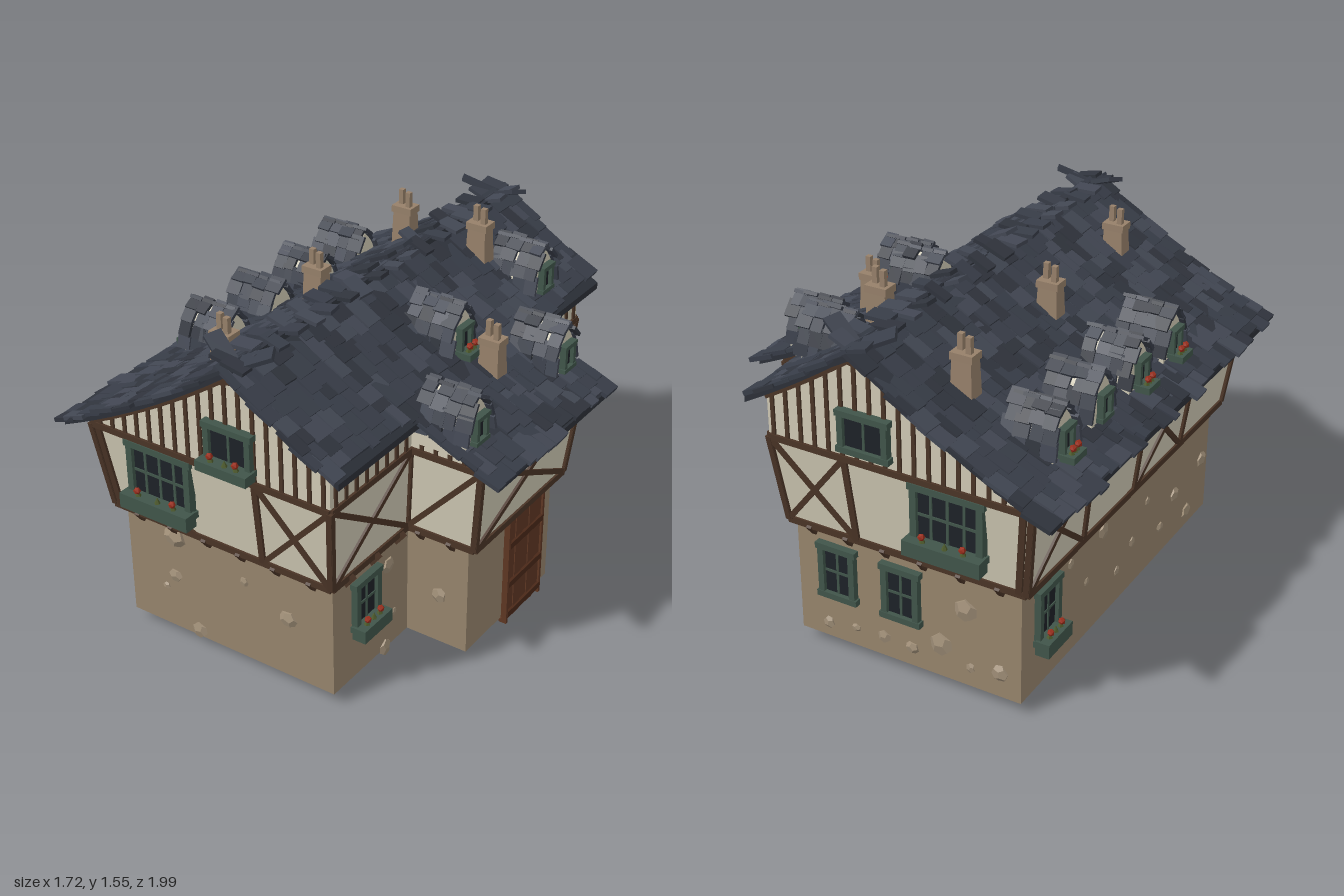
import * as THREE from 'three';
import { mergeGeometries } from 'three/addons/utils/BufferGeometryUtils.js';

const V = (x, y, z) => new THREE.Vector3(x, y, z);
const UP = V(0, 1, 0);
const COLORS = {
  stoneWall: 0x96846c, plaster: 0xcfc9b4, timber: 0x4a3426, roofDeck: 0x2c3038,
  shingleDark: 0x30343d, shingleMid: 0x383d48, shingleLight: 0x424753,
  windowFrame: 0x40554a, glass: 0x1d2127, flower: 0x9a2e1c, leaf: 0x4d5a2c, door: 0x5e3623,
  doorBatten: 0x4a2818, fieldStone: 0xa08f78, chimney: 0x96806a,
};
// Roof height at distance x from the ridge, and its slope
const roofY = x => 1.43 - 0.72 * Math.abs(x) + 0.18 * x * x;
const roofAngle = x => Math.atan(-0.72 + 0.36 * Math.abs(x));

export function createModel() {
  const parts = {};
  let seed = 7;
  const rnd = (a = 0, b = 1) => {
    seed = (seed * 16807) % 2147483647;
    return a + (b - a) * seed / 2147483647;
  };
  const put = (name, geo, matrix) => {
    const g = geo.index ? geo.toNonIndexed() : geo;
    g.deleteAttribute('uv');
    if (matrix) g.applyMatrix4(matrix);
    (parts[name] ??= []).push(g);
  };
  const place = (x, y, z, rx = 0, ry = 0, rz = 0) =>
    new THREE.Matrix4().makeRotationFromEuler(new THREE.Euler(rx, ry, rz)).setPosition(x, y, z);
  const box = (name, w, h, d, m) => put(name, new THREE.BoxGeometry(w, h, d), m);
  const within = (parent, x, y, z, ...r) => parent.clone().multiply(place(x, y, z, ...r));

  // Beam between two points, lying flat on a wall with normal n
  const beam = (p, q, n, w = 0.022, d = 0.022, name = 'timber') => {
    const y = q.clone().sub(p), len = y.length();
    y.normalize();
    const x = y.clone().cross(n).normalize(), z = x.clone().cross(y);
    const m = new THREE.Matrix4().makeBasis(x, y, z).setPosition(p.clone().add(q).multiplyScalar(0.5));
    box(name, w, len, d, m);
  };

  // T-shaped outline: main block plus a wing on +x
  const outline = (L, M, R, Z, W, y) => [[-L, Z], [M, Z], [M, W], [R, W], [R, -W], [M, -W], [M, -Z], [-L, -Z]]
    .map(([x, z]) => V(x, y, z));
  const base = outline(0.64, 0.36, 0.64, 0.83, 0.32, 0.055);
  const baseTop = outline(0.64, 0.36, 0.64, 0.83, 0.32, 0.57);
  const sill = outline(0.675, 0.375, 0.68, 0.855, 0.345, 0.575);
  const plate = outline(0.72, 0.41, 0.72, 0.905, 0.38, 0.955);
  const ring = (name, lo, hi) => {
    const pos = [];
    lo.forEach((a, i) => {
      const j = (i + 1) % lo.length;
      for (const p of [a, lo[j], hi[j], a, hi[j], hi[i]]) pos.push(p.x, p.y, p.z);
    });
    const g = new THREE.BufferGeometry();
    g.setAttribute('position', new THREE.Float32BufferAttribute(pos, 3));
    g.computeVertexNormals();
    put(name, g);
  };
  ring('stoneWall', base, baseTop);
  ring('timber', baseTop, sill);
  ring('plaster', sill, plate);

  // Timber framing per wall: posts, crossed braces and single diagonals
  const framing = [
    { posts: [0.03, 0.7], x: [[0.7, 1]], d: [[0.14, 0, 0.27, 0.16], [0.4, 0, 0.27, 0.16]] },
    { x: [[0, 1]] }, { d: [[0, 0, 1, 1]] }, { x: [[0, 1]] }, { x: [[0, 1]] },
    { posts: [0.78], x: [[0.78, 1]] },
    { posts: [0.3, 0.97], x: [[0, 0.3]] },
    { posts: [0.25, 0.5, 0.75], x: [[0, 0.25], [0.5, 0.75]] },
  ];
  framing.forEach(({ posts = [], x = [], d = [] }, i) => {
    const j = (i + 1) % 8;
    const at = (u, v) => sill[i].clone().lerp(sill[j], u).lerp(plate[i].clone().lerp(plate[j], u), v);
    const n = sill[j].clone().sub(sill[i]).normalize().cross(UP);
    const stick = (a, b, c, e, w) => beam(at(a, b), at(c, e), n, w);
    stick(0, 0, 1, 0, 0.028);
    stick(0, 1, 1, 1, 0.026);
    [0, 1, ...posts].forEach(u => stick(u, 0, u, 1, 0.026));
    x.forEach(([a, b]) => { stick(a, 0, b, 1); stick(a, 1, b, 0); });
    d.forEach(s => stick(...s));
    // Joist ends under the jetty
    const len = baseTop[i].distanceTo(baseTop[j]), count = Math.max(2, Math.round(len / 0.18));
    for (let k = 0; k < count; k++) {
      const p = baseTop[i].clone().lerp(baseTop[j], (k + 0.5) / count);
      beam(p.clone().setY(0.53), p.clone().addScaledVector(n, 0.035).setY(0.575), n, 0.022, 0.025);
    }
  });

  // Attic walls: gables under the roof line with upright studs
  const gable = (x0, x1, z) => {
    const s = new THREE.Shape().moveTo(x0, 0.955).lineTo(x1, 0.955), n = V(0, 0, Math.sign(z));
    const xs = Array.from({ length: 13 }, (_, i) => x1 + (x0 - x1) * i / 12);
    xs.forEach(x => s.lineTo(x, roofY(x) - 0.02));
    put('plaster', new THREE.ShapeGeometry(s), place(0, 0, z));
    xs.slice(1).forEach((x, i) =>
      beam(V(xs[i], roofY(xs[i]) - 0.035, z), V(x, roofY(x) - 0.035, z), n, 0.025, 0.03));
    for (let x = x0 + 0.05; x < x1; x += 0.062) beam(V(x, 0.955, z), V(x, roofY(x) - 0.03, z), n, 0.016, 0.016);
  };
  for (const s of [1, -1]) {
    gable(-0.72, 0.41, s * 0.905);
    gable(0.41, 0.72, s * 0.38);
    const top = roofY(0.41) - 0.02;
    put('plaster', new THREE.PlaneGeometry(0.525, top - 0.955), place(0.41, (top + 0.955) / 2, s * 0.6425, 0, Math.PI / 2));
    put('plaster', new THREE.PlaneGeometry(s > 0 ? 0.76 : 1.81, 0.04), place(s * 0.72, 0.975, 0, 0, s * Math.PI / 2));
    for (let z = 0.42; z < 0.9; z += 0.065) beam(V(0.41, 0.955, s * z), V(0.41, top, s * z), V(1, 0, 0), 0.016, 0.016);
  }

  // Roof deck below the shingles
  const deck = (x0, x1, z) => {
    const xs = Array.from({ length: 17 }, (_, i) => x0 + (x1 - x0) * i / 16);
    const pts = [...xs.map(x => new THREE.Vector2(x, roofY(x) - 0.028)),
      ...xs.reverse().map(x => new THREE.Vector2(x, roofY(x)))];
    put('roofDeck', new THREE.ExtrudeGeometry(new THREE.Shape(pts), { depth: 2 * z, bevelEnabled: false }), place(0, 0, -z));
  };
  deck(-0.82, 0.48, 0.95);
  deck(0.46, 0.82, 0.42);

  // Uneven shingles in rows
  const shade = () => ['shingleDark', 'shingleMid', 'shingleMid', 'shingleLight'][Math.floor(rnd(0, 3.99))];
  for (const s of [-1, 1]) {
    for (let x = 0.785; x > 0.02; x -= 0.062) {
      const zEnd = s > 0 && x > 0.47 ? 0.455 : 0.98;
      for (let z = -zEnd + rnd(-0.015, 0.02); z < zEnd - 0.02;) {
        const w = Math.min(rnd(0.045, 0.1), zEnd + 0.01 - z), cx = x + rnd(-0.018, 0.018);
        box(shade(), rnd(0.1, 0.13), rnd(0.012, 0.02), w - 0.003, place(s * cx, roofY(cx) + rnd(0.006, 0.015),
          z + w / 2, rnd(-0.03, 0.03), rnd(-0.04, 0.04), s * (roofAngle(cx) + rnd(0.03, 0.1))));
        z += w;
      }
    }
  }
  // Crooked ridge tiles
  box('shingleDark', 0.035, 0.03, 1.9, place(0.01, 1.435, 0));
  for (let i = 0; i < 18; i++) for (const s of [-1, 1]) {
    const z = -0.93 + i * 0.109 + rnd(-0.015, 0.015);
    box(shade(), 0.1, 0.016, rnd(0.05, 0.08), place(s * 0.035, 1.452, z + s * 0.02, 0, rnd(-0.15, 0.15), s * rnd(-0.55, 0.45)));
  }
  for (const e of [-1, 1]) for (const s of [-1, 1])
    box('shingleMid', 0.15, 0.018, 0.07, place(s * 0.075, 1.465, e * 0.88, 0.2 * e, 0.5 * s * e, s * 0.3));

  // Window facing +z in frame m, optionally with a flower box
  const windowUnit = (m, w, h, cols, rows, planter = true, t = 0.02) => {
    box('glass', w, h, 0.012, m);
    for (const s of [-1, 1]) {
      box('windowFrame', t, h + t, 0.035, within(m, s * w / 2, 0, 0.005));
      box('windowFrame', w + t * 1.6, t, 0.04, within(m, 0, s * h / 2, 0.005));
    }
    for (let i = 1; i < cols; i++) box('windowFrame', t * 0.4, h, 0.02, within(m, -w / 2 + w * i / cols, 0, 0));
    for (let i = 1; i < rows; i++) box('windowFrame', w, t * 0.4, 0.02, within(m, 0, -h / 2 + h * i / rows, 0));
    if (!planter) return;
    const ph = Math.min(0.07, h * 0.28);
    box('windowFrame', w + t * 1.8, ph, 0.06, within(m, 0, -h / 2 - ph * 0.2, 0.035));
    [-0.32, 0.02, 0.3].forEach((u, i) => {
      put('leaf', new THREE.ConeGeometry(0.014, 0.03, 5), within(m, u * w, -h / 2 + ph * 0.3 + 0.012, 0.04));
      if (i !== 1) put('flower', new THREE.IcosahedronGeometry(0.015), within(m, u * w, -h / 2 + ph * 0.3 + 0.025, 0.045));
    });
  };
  const Q = Math.PI / 2;
  windowUnit(place(-0.39, 0.815, 0.895), 0.28, 0.23, 4, 2, true, 0.028);
  windowUnit(place(-0.37, 0.815, -0.895, 0, Math.PI), 0.28, 0.23, 4, 2, true, 0.028);
  windowUnit(place(-0.03, 1.085, 0.915), 0.19, 0.15, 2, 1, true, 0.025);
  windowUnit(place(-0.03, 1.085, -0.915, 0, Math.PI), 0.19, 0.15, 2, 1, false, 0.025);
  for (const z of [0.625, -0.545]) windowUnit(place(0.365, 0.395, z, 0, Q), 0.14, 0.2, 2, 2, true, 0.026);
  windowUnit(place(-0.645, 0.385, -0.65, 0, -Q), 0.14, 0.22, 2, 2, true, 0.026);
  for (const x of [0.17, -0.12]) windowUnit(place(x, 0.38, -0.835, 0, Math.PI), 0.14, 0.22, 2, 2, false, 0.026);

  // Dormers: pointed arch, small window and shingled hood
  const arch = new THREE.QuadraticBezierCurve(new THREE.Vector2(0.08, 0.04), new THREE.Vector2(0.075, 0.14), new THREE.Vector2(0, 0.2));
  const dormer = (x, z, y, planter) => {
    const m = place(x, y, z, 0, Math.sign(x) * Q), right = arch.getPoints(6);
    const left = right.slice(0, 6).reverse().map(p => new THREE.Vector2(-p.x, p.y));
    const face = new THREE.Shape([new THREE.Vector2(-0.08, -0.03), new THREE.Vector2(0.08, -0.03), ...right, ...left]);
    put('plaster', new THREE.ExtrudeGeometry(face, { depth: 0.2, bevelEnabled: false }), within(m, 0, 0, -0.2));
    windowUnit(within(m, 0, 0.075, 0.005), 0.065, 0.1, 1, 1, planter, 0.018);
    for (const s of [-1, 1]) for (const t of [0.05, 0.35, 0.65, 0.93]) for (let k = 0; k < 4; k++) {
      const p = arch.getPoint(t), g = arch.getTangent(t);
      box(shade(), rnd(0.06, 0.08), 0.014, rnd(0.05, 0.07), within(m, s * (p.x + 0.006), p.y + 0.008 + rnd(0, 0.008),
        -0.015 - k * 0.055 + rnd(-0.01, 0.01), 0, rnd(-0.08, 0.08), s * (Math.atan2(g.y, g.x) - Math.PI + rnd(0.02, 0.22))));
    }
  };
  [-0.61, -0.31, 0, 0.3].forEach((z, i) => dormer(-0.68, z, 1.035, i !== 1));
  for (const z of [0, -0.63]) dormer(0.39, z, 1.185, z === 0);
  for (const z of [0.33, -0.33]) dormer(0.665, z, 1.04, false);

  // Chimneys: tapered stack, cap and two pots
  for (const [x, z, top] of [[-0.31, -0.67, 1.45], [-0.28, 0.02, 1.45], [-0.24, 0.66, 1.45], [0.15, -0.52, 1.545], [0.5, -0.05, 1.33]]) {
    const y0 = roofY(x) - 0.05, y1 = top - 0.08;
    const stack = new THREE.CylinderGeometry(0.052, 0.062, y1 - y0, 4).rotateY(Math.PI / 4).scale(1.1, 1, 0.85);
    put('chimney', stack, place(x, (y0 + y1) / 2, z));
    box('chimney', 0.095, 0.03, 0.07, place(x, y1 + 0.005, z));
    for (const s of [-1, 1]) box('chimney', 0.022, 0.08, 0.022, place(x + s * 0.022, top - 0.035, z + s * 0.008));
  }

  // Plank door with battens and a threshold
  for (let i = 0; i < 5; i++)
    box('door', 0.03, 0.49, 0.051, place(0.642 + (i % 2) * 0.003, 0.285, -0.199 + i * 0.053));
  for (const y of [0.07, 0.22, 0.41]) box('doorBatten', 0.014, 0.028, 0.26, place(0.661, y, -0.093));
  for (const s of [-1, 1]) box('door', 0.035, 0.5, 0.014, place(0.648, 0.28, -0.093 + s * 0.132));
  const step = new THREE.Shape([[0.585, 0.055], [0.585, 0], [0.645, 0.055]].map(p => new THREE.Vector2(...p)));
  put('door', new THREE.ExtrudeGeometry(step, { depth: 0.29, bevelEnabled: false }), place(0, 0, -0.235));

  // Field stones set into the plinth walls
  const stone = (x, y, z, r, side) => put('fieldStone', new THREE.DodecahedronGeometry(r)
    .rotateZ(rnd(0, 3)).scale(1, rnd(0.8, 1.2), 0.45), place(x, y, z, 0, side));
  for (const [x, y, r] of [[-0.4, 0.5, 0.055], [-0.06, 0.42, 0.02], [-0.41, 0.31, 0.034], [-0.46, 0.24, 0.02], [0.15, 0.33, 0.042], [-0.3, 0.085, 0.038]])
    stone(x, y, 0.83, r, 0);
  stone(0.51, 0.28, 0.32, 0.034, 0);
  for (const [z, y, r] of [[0.46, 0.45, 0.036], [0.42, 0.2, 0.018], [0.48, 0.06, 0.036], [-0.71, 0.34, 0.042], [-0.7, 0.15, 0.05]])
    stone(0.36, y, z, r, Q);
  stone(0.64, 0.53, -0.08, 0.02, Q);
  for (let i = 0; i < 10; i++) stone(-0.64, rnd(0.07, 0.48), -0.45 + i * 0.135, rnd(0.018, 0.045), -Q);
  for (let i = 0; i < 7; i++) stone(-0.55 + i * 0.13, i % 2 ? 0.14 : rnd(0.1, 0.22), -0.83, rnd(0.02, 0.05), Math.PI);
  stone(-0.4, 0.4, -0.83, 0.05, Math.PI);

  const house = new THREE.Group();
  house.name = 'timberHouse';
  for (const [name, geos] of Object.entries(parts)) {
    const mesh = new THREE.Mesh(mergeGeometries(geos), new THREE.MeshStandardMaterial({
      color: COLORS[name], flatShading: true, side: THREE.DoubleSide,
    }));
    mesh.name = name;
    house.add(mesh);
  }
  return house;
}
